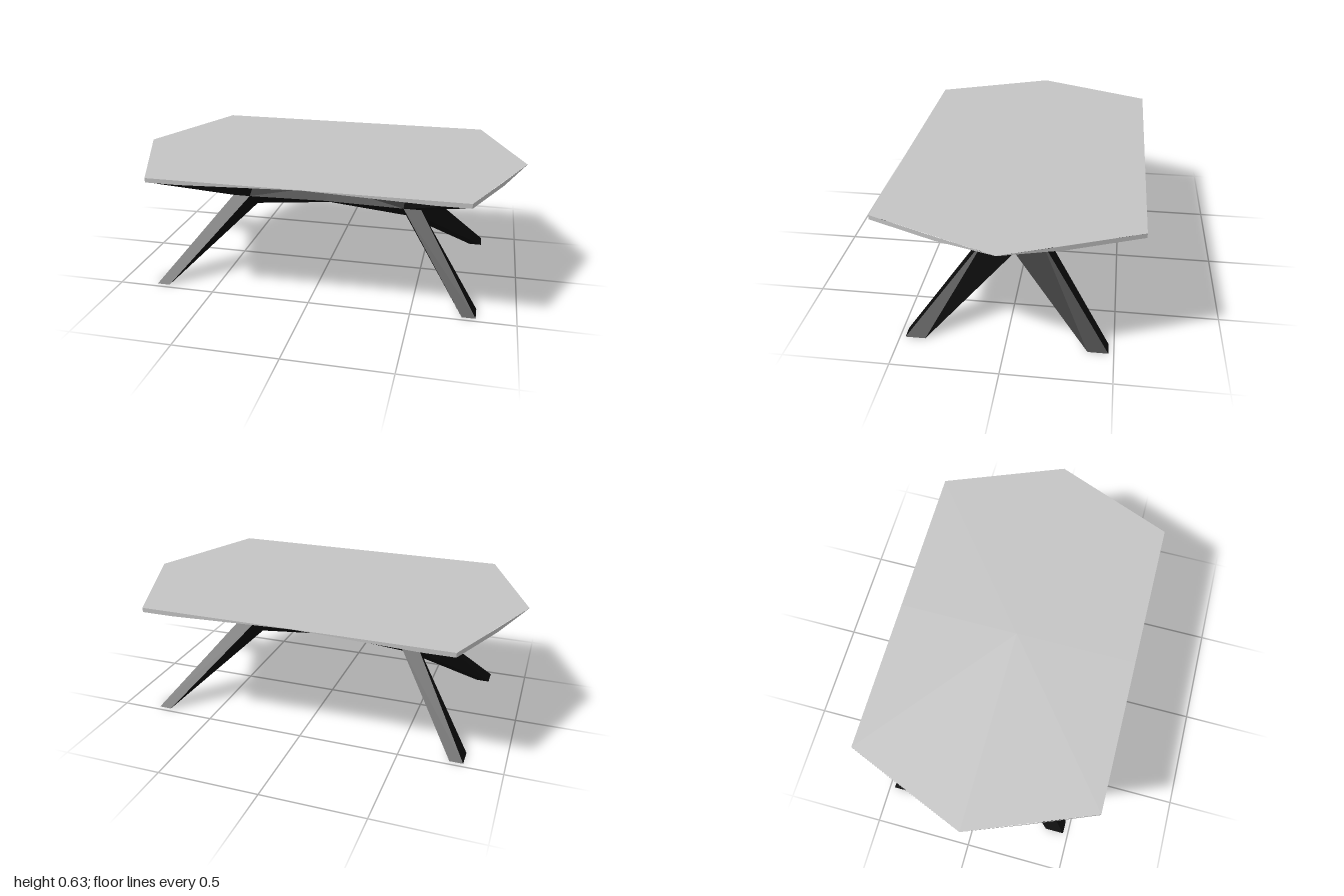
import * as THREE from 'three';
import { ConvexGeometry } from 'three/addons/geometries/ConvexGeometry.js';

const TOP = 0.627, LOW = 0.605;
const QUADRANTS = [[1, 1], [-1, 1], [-1, -1], [1, -1]];

// Faceted solid around a few corner points, mirrored by sx and sz
function solid(points, sx, sz) {
  return new ConvexGeometry(points.map(([x, y, z]) => new THREE.Vector3(x * sx, y, z * sz)));
}

// Hexagonal slab: flat top, underside thick at the four corners and thin at the middle of each side
function tabletopGeometry() {
  const mid = [0, 0.626, 0.603], pad = [0.6, LOW, 0.603], corner = [0.757, LOW, 0.603];
  const side = [0.889, LOW, 0.28], tip = [1, 0.626, 0], inner = [0.6, LOW, 0.28];
  const centre = [0, 0.624, 0];
  const up = ([x, , z]) => [x, TOP, z];
  const faces = [
    // top
    [up(centre), up(mid), up(corner), up(tip)],
    // underside
    [inner, side, corner, pad],
    [centre, inner, pad, mid],
    [centre, tip, side, inner],
  ];
  // rim
  const rim = [mid, pad, corner, side, tip];
  for (let i = 0; i < 4; i++) faces.push([rim[i], rim[i + 1], up(rim[i + 1]), up(rim[i])]);

  const positions = [];
  for (const [sx, sz] of QUADRANTS) {
    for (const [a, b, c, d] of faces) {
      for (const tri of [[a, b, c], [a, c, d]]) {
        if (sx * sz < 0) tri.reverse();
        for (const [x, y, z] of tri) positions.push(x * sx, y, z * sz);
      }
    }
  }
  const geometry = new THREE.BufferGeometry();
  geometry.setAttribute('position', new THREE.Float32BufferAttribute(positions, 3));
  geometry.computeVertexNormals();
  return geometry;
}

export function createModel() {
  const model = new THREE.Group();
  model.name = 'table';

  const grey = new THREE.MeshStandardMaterial({ color: 0xc4c4c4 });
  grey.name = 'pale grey';
  const black = new THREE.MeshStandardMaterial({ color: 0x0b0b0b });
  black.name = 'black';

  const add = (parent, name, geometry, material) => {
    const mesh = new THREE.Mesh(geometry, material);
    mesh.name = name;
    parent.add(mesh);
  };

  add(model, 'tabletop', tabletopGeometry(), grey);

  const base = new THREE.Group();
  base.name = 'base';
  model.add(base);

  // Points where arms, legs and beam meet
  const elbow = [[0.5, 0.39, 0.13], [0.41, 0.39, 0.13]];
  const crown = [[0.41, 0.447, 0.03], [0.48, 0.447, 0.03]];
  const crotch = [[0.41, 0.302, 0], [0.49, 0.302, 0]];

  // Arms rise to the tabletop corners, legs run down to the feet
  const armEnd = [[0.753, 0.606, 0.6], [0.665, 0.606, 0.6], [0.6, 0.606, 0.28], [0.7, 0.606, 0.28]];
  const foot = [[0.81, 0, 0.475], [0.745, 0, 0.475], [0.745, 0, 0.38], [0.81, 0, 0.38]];
  for (const [sx, sz] of QUADRANTS) {
    const place = (sz > 0 ? 'front' : 'back') + (sx > 0 ? 'Left' : 'Right');
    add(base, place + 'Arm', solid([...elbow, ...crown, ...armEnd], sx, sz), black);
    add(base, place + 'Leg', solid([...elbow, ...crotch, ...foot], sx, sz), black);
  }

  // Hubs and the beam between them, its lower edge rising to the middle
  const flip = (points) => points.map(([x, y, z]) => [x, y, -z]);
  const hub = [...elbow, ...crown, ...crotch, ...flip(elbow), ...flip(crown)];
  const section = (x, bottom, width) => [
    [x, 0.447, 0.03], [x, 0.447, -0.03], [x, 0.39, width], [x, 0.39, -width], [x, bottom, 0],
  ];
  for (const sx of [1, -1]) {
    const side = sx > 0 ? 'left' : 'right';
    add(base, side + 'Hub', solid(hub, sx, 1), black);
    add(base, side + 'Beam', solid([...section(0, 0.342, 0.11), ...section(0.411, 0.302, 0.13)], sx, 1), black);
  }
  return model;
}
